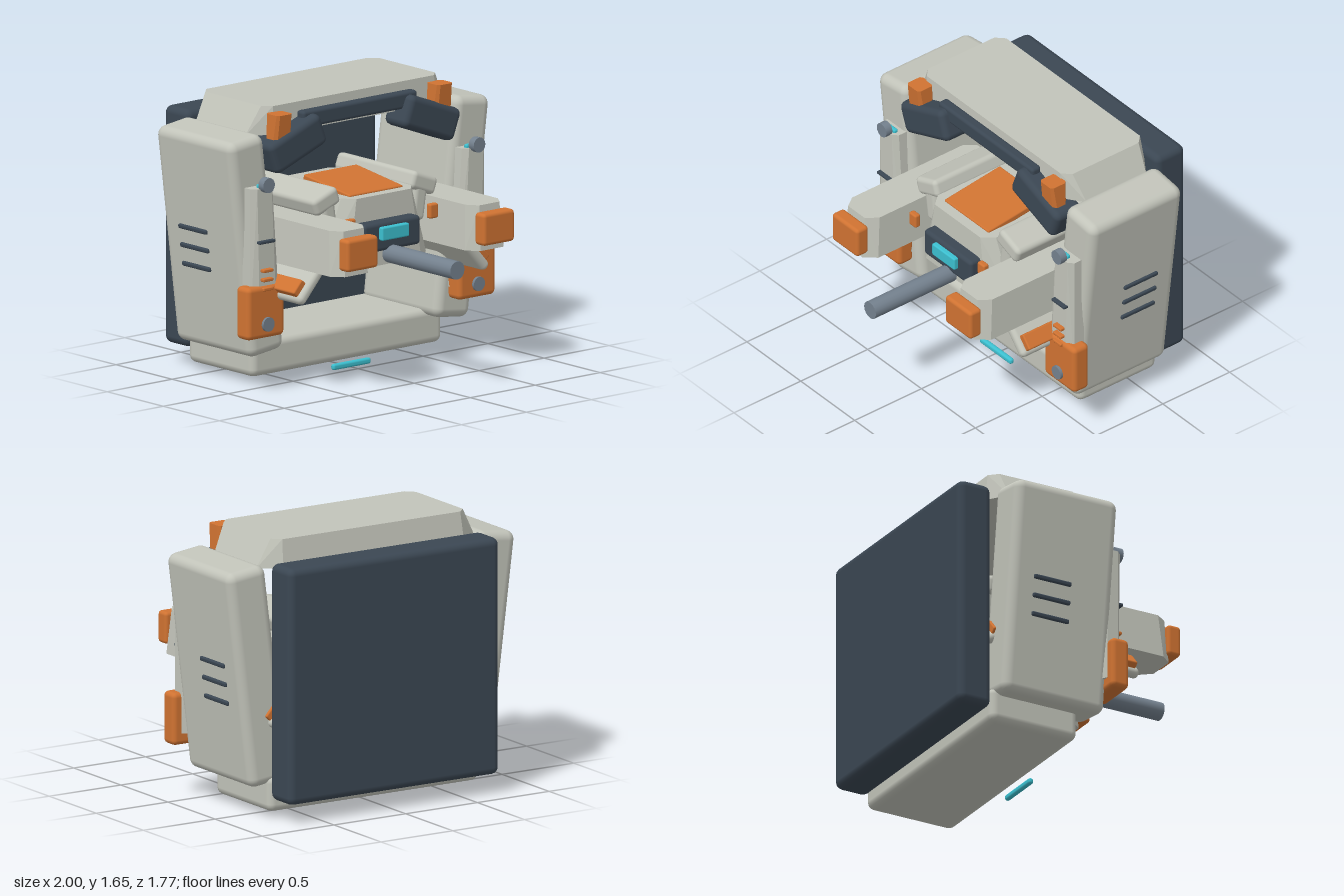
import * as THREE from 'three';
import { RoundedBoxGeometry } from 'three/addons/geometries/RoundedBoxGeometry.js';
import { ConvexGeometry } from 'three/addons/geometries/ConvexGeometry.js';

const paint = (name, color) => {
  const m = new THREE.MeshStandardMaterial({ color });
  m.name = name;
  return m;
};

export function createModel() {
  const grey = paint('hull grey', 0xc2c4ba);
  const dark = paint('dark slate', 0x3b4753);
  const orange = paint('accent orange', 0xd07332);
  const cyan = paint('glow cyan', 0x3cc0d0);
  const steel = paint('steel', 0x74818e);

  const model = new THREE.Group();
  const add = (name, geometry, material, parent = model) => {
    const mesh = new THREE.Mesh(geometry, material);
    mesh.name = name;
    parent.add(mesh);
    return mesh;
  };

  // Rounded block given by its extents [min, max] on each axis
  const block = (name, mat, [x0, x1], [y0, y1], [z0, z1], r = 0.02, parent = model) => {
    const mesh = add(name, new RoundedBoxGeometry(x1 - x0, y1 - y0, z1 - z0, 2, r), mat, parent);
    mesh.position.set((x0 + x1) / 2, (y0 + y1) / 2, (z0 + z1) / 2);
    return mesh;
  };

  // Rectangle with cut corners, at height y
  const section = (y, x0, x1, z0, z1, cx, cz) => [
    [x0 + cx, z0], [x1 - cx, z0], [x1, z0 + cz], [x1, z1 - cz],
    [x1 - cx, z1], [x0 + cx, z1], [x0, z1 - cz], [x0, z0 + cz],
  ].map(([x, z]) => new THREE.Vector3(x, y, z));

  // Faceted solid between two such sections, mirrored by s
  const loft = (name, mat, bottom, top, s = 1) => {
    const points = [...section(...bottom), ...section(...top)];
    points.forEach((p) => { p.x *= s; });
    return add(name, new ConvexGeometry(points), mat);
  };

  const rod = (name, mat, r, x, y, z0, z1) => {
    const mesh = add(name, new THREE.CylinderGeometry(r, r, z1 - z0, 16), mat);
    mesh.rotation.x = Math.PI / 2;
    mesh.position.set(x, y, (z0 + z1) / 2);
    return mesh;
  };

  // Shell: back panel, base, roof and brow bar
  block('backPanel', dark, [-0.735, 0.735], [0.12, 1.54], [-0.89, -0.67], 0.045);
  block('base', grey, [-0.735, 0.735], [0.04, 0.255], [-0.675, -0.09], 0.045);
  loft('roof', grey,
    [1.49, -0.76, 0.76, -0.66, -0.035, 0.13, 0.09],
    [1.66, -0.67, 0.67, -0.635, -0.04, 0.05, 0.05]);
  block('browBar', dark, [-0.44, 0.44], [1.51, 1.61], [-0.045, 0.025], 0.02);
  block('lowerLight', cyan, [-0.145, 0.145], [0.005, 0.042], [-0.08, -0.048], 0.014);

  // Central console with top plate, face and barrel
  loft('console', grey,
    [0.67, -0.41, 0.41, -0.5, 0.24, 0.13, 0.11],
    [1.09, -0.27, 0.27, -0.5, 0.23, 0.06, 0.07]);
  const plate = add('topPlate', new RoundedBoxGeometry(0.41, 0.04, 0.42, 2, 0.01), orange);
  plate.position.set(0, 1.108, -0.045);
  plate.rotation.x = 0.13;
  block('facePlate', dark, [-0.22, 0.22], [0.77, 0.945], [0.2, 0.31], 0.025);
  block('faceLight', cyan, [-0.105, 0.105], [0.84, 0.92], [0.29, 0.34], 0.01);
  rod('barrel', steel, 0.055, 0, 0.745, 0.28, 0.885);

  for (const s of [1, -1]) {
    const side = s > 0 ? 'left' : 'right';
    const span = (a, b) => (s > 0 ? [a, b] : [-b, -a]);
    const tilted = (name, mat, size, r, x, y, z, angle) => {
      const mesh = add(side + name, new RoundedBoxGeometry(...size, 2, r), mat);
      mesh.position.set(x * s, y, z);
      mesh.rotation.z = angle * s;
      return mesh;
    };

    // Leaning side pod with three vents
    const pod = new THREE.Group();
    pod.name = side + 'Pod';
    pod.position.set(0.793 * s, 0.857, -0.313);
    pod.rotation.z = -0.125 * s;
    model.add(pod);
    add('podBody', new RoundedBoxGeometry(0.27, 1.315, 0.685, 3, 0.055), grey, pod);
    for (const y of [-0.155, -0.04, 0.075]) {
      block('vent', dark, span(0.115, 0.15), [y - 0.014, y + 0.014], [-0.195, 0.055], 0.01, pod);
    }

    // Front column with discs, slits and foot
    loft(side + 'Column', grey,
      [0.4, 0.67, 0.9, -0.02, 0.11, 0.05, 0.03],
      [1.225, 0.73, 0.9, -0.02, 0.11, 0.03, 0.03], s);
    rod(side + 'UpperDisc', steel, 0.045, 0.81 * s, 1.245, 0.1, 0.145);
    rod(side + 'LowerDisc', steel, 0.043, 0.81 * s, 0.415, 0.1, 0.145);
    block(side + 'ColumnLight', cyan, span(0.76, 0.84), [1.215, 1.245], [0.06, 0.09], 0.01);
    block(side + 'ColumnBand', dark, span(0.75, 0.87), [0.897, 0.915], [0.1, 0.135], 0.006);
    for (const y of [0.625, 0.68, 0.735]) {
      block(side + 'Slit', orange, span(0.77, 0.845), [y - 0.01, y + 0.01], [0.1, 0.14], 0.006);
    }
    block(side + 'Foot', orange, span(0.67, 0.955), [0.33, 0.645], [0.01, 0.128], 0.03);

    // Forward arm with end cap and small stub
    loft(side + 'Arm', grey,
      [0.745, 0.375, 0.67, -0.4, 0.59, 0.06, 0.07],
      [1.012, 0.395, 0.65, -0.4, 0.565, 0.05, 0.07], s);
    block(side + 'ArmCap', orange, span(0.405, 0.645), [0.785, 0.977], [0.565, 0.655], 0.022);
    block(side + 'Stub', orange, span(0.285, 0.35), [0.91, 0.998], [0.275, 0.315], 0.012);

    // Shoulder rests above the arms
    tilted('ShoulderRest', grey, [0.2, 0.11, 0.7], 0.03, 0.375, 1.085, -0.185, -0.36);
    tilted('ShoulderSupport', grey, [0.1, 0.23, 0.7], 0.03, 0.345, 0.98, -0.19, -0.15);

    // Slanted lower struts
    tilted('Strut', grey, [0.3, 0.065, 1.02], 0.03, 0.62, 0.665, -0.18, -0.84);
    tilted('StrutPad', orange, [0.1, 0.05, 0.97], 0.01, 0.705, 0.64, -0.185, -0.84);

    // Brow visor and lamp
    tilted('Visor', dark, [0.42, 0.2, 0.2], 0.04, 0.515, 1.435, -0.02, -0.36);
    loft(side + 'Lamp', orange,
      [1.44, 0.55, 0.685, -0.045, 0.05, 0.02, 0.02],
      [1.625, 0.56, 0.675, -0.045, 0.07, 0.015, 0.015], s);
  }
  return model;
}
